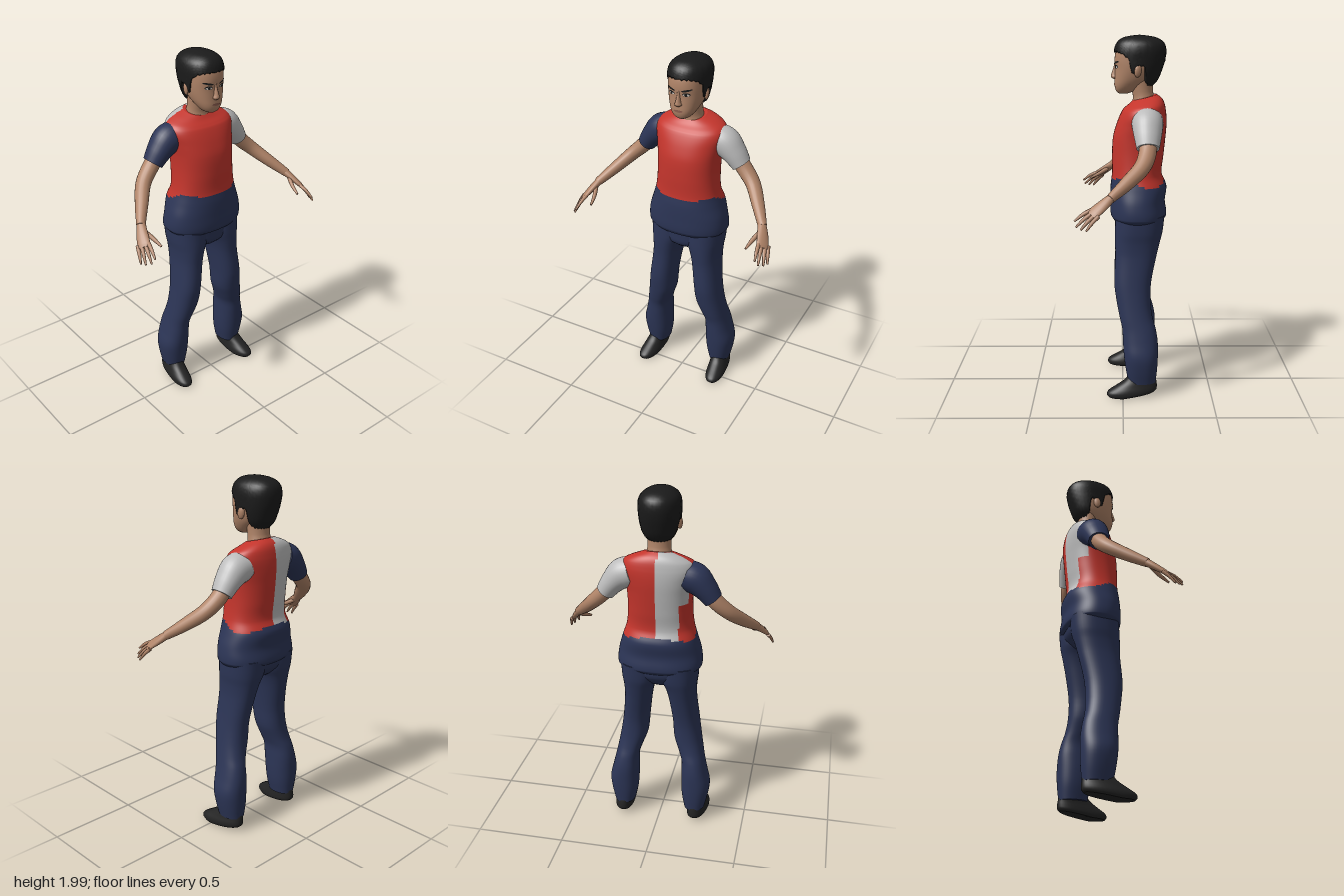
import * as THREE from 'three';

const mat = (name, color, side = THREE.FrontSide) => {
  const m = new THREE.MeshStandardMaterial({ color, side });
  m.name = name;
  return m;
};
const V = (x, y, z) => new THREE.Vector3(x, y, z);

// Smooth interpolation of rows [key, ...values]
function at(keys, t) {
  let i = 0;
  while (i < keys.length - 2 && t > keys[i + 1][0]) i++;
  const a = keys[i], b = keys[i + 1], h = b[0] - a[0];
  const u = Math.min(1, Math.max(0, (t - a[0]) / h));
  const p = keys[Math.max(0, i - 1)], q = keys[Math.min(keys.length - 1, i + 2)];
  return a.map((v, k) => {
    const m0 = (b[k] - p[k]) / (b[0] - p[0]) * h, m1 = (q[k] - v) / (q[0] - a[0]) * h;
    const u2 = u * u, u3 = u2 * u;
    return (2 * u3 - 3 * u2 + 1) * v + (u3 - 2 * u2 + u) * m0 + (3 * u2 - 2 * u3) * b[k] + (u3 - u2) * m1;
  });
}

// Skin over closed rings of points; pick(centre) chooses the material index
function skin(name, rings, mats, pick = () => 0) {
  const n = rings[0].length, verts = [];
  const centre = (r) => r.reduce((s, p) => s.add(p), V(0, 0, 0)).divideScalar(n);
  const cap = (r) => [r.map((p) => p.clone()), r.map(() => centre(r))];
  const all = [...cap(rings[0]).reverse(), ...rings, ...cap(rings[rings.length - 1])];
  all.forEach((r) => r.forEach((p) => verts.push(p.x, p.y, p.z)));
  const list = [].concat(mats), faces = list.map(() => []);
  for (let i = 0; i < all.length - 1; i++) {
    if (i === 1 || i === all.length - 3) continue;
    for (let j = 0; j < n; j++) {
      const k = (j + 1) % n, a = i * n + j, b = i * n + k, c = a + n, d = b + n;
      const mid = all[i][j].clone().add(all[i + 1][k]).multiplyScalar(0.5);
      faces[pick(mid)].push(a, b, c, b, d, c);
    }
  }
  const g = new THREE.BufferGeometry();
  g.setAttribute('position', new THREE.Float32BufferAttribute(verts, 3));
  g.setIndex(faces.flat());
  let start = 0;
  faces.forEach((f, i) => { g.addGroup(start, f.length, i); start += f.length; });
  g.computeVertexNormals();
  const mesh = new THREE.Mesh(g, list.length > 1 ? list : list[0]);
  mesh.name = name;
  return mesh;
}

// Point on a horizontal section [y, centreX, halfWidth, frontZ, backZ]
const pw = (v, e) => Math.sign(v) * Math.abs(v) ** e;
function sectionPoint([y, cx, hx, zf, zb], th, e) {
  return V(cx + hx * pw(Math.sin(th), e), y, (zf + zb) / 2 + (zf - zb) / 2 * pw(Math.cos(th), e));
}
function body(name, keys, mats, { n = 40, sub = 4, e = 0.87, pick, warp } = {}) {
  const rings = [];
  for (let i = 0; i <= (keys.length - 1) * sub; i++) {
    const k = Math.min(Math.floor(i / sub), keys.length - 2), u = i / sub - k;
    const s = at(keys, keys[k][0] + (keys[k + 1][0] - keys[k][0]) * u);
    rings.push(Array.from({ length: n }, (_, j) => {
      const p = sectionPoint(s, j / n * Math.PI * 2, e);
      if (warp) warp(p);
      return p;
    }));
  }
  return skin(name, rings, mats, pick);
}

// Tapered limb along points [x, y, z, radius along ref, radius across]
function limb(name, pts, ref, material, n = 16, sub = 5) {
  const curve = new THREE.CatmullRomCurve3(pts.map((p) => V(p[0], p[1], p[2])));
  const keys = pts.map((p, i) => [i / (pts.length - 1), p[3], p[4]]);
  const count = (pts.length - 1) * sub, rings = [];
  for (let i = 0; i <= count; i++) {
    const t = i / count, c = curve.getPoint(t), T = curve.getTangent(t), [, ra, rb] = at(keys, t);
    const N = ref.clone().addScaledVector(T, -ref.dot(T)).normalize(), B = T.clone().cross(N);
    rings.push(Array.from({ length: n }, (_, j) => {
      const a = j / n * Math.PI * 2;
      return c.clone().addScaledVector(N, Math.cos(a) * ra).addScaledVector(B, Math.sin(a) * rb);
    }));
  }
  return skin(name, rings, material);
}

const HEAD = [[1.688, 0, .022, .022, -.03], [1.7, 0, .045, .036, -.06], [1.73, 0, .068, .045, -.1],
  [1.77, 0, .086, .044, -.15], [1.82, 0, .097, .042, -.18], [1.87, 0, .1, .045, -.2],
  [1.92, 0, .098, .036, -.2], [1.96, 0, .08, .01, -.18], [1.985, 0, .03, -.05, -.12]];
const HAIR = [[1.72, 0, .068, .03, -.155], [1.76, 0, .092, .04, -.19], [1.82, 0, .106, .05, -.215],
  [1.87, 0, .11, .05, -.23], [1.92, 0, .111, .047, -.235], [1.96, 0, .098, .032, -.222],
  [1.985, 0, .066, 0, -.185], [1.995, 0, .035, -.04, -.14], [2, 0, .004, -.086, -.094]];
const HAIRLINE = [[0, 1.912], [.5, 1.912], [.9, 1.9], [1.2, 1.87], [1.32, 1.8], [1.44, 1.8],
  [1.52, 1.84], [1.78, 1.84], [1.95, 1.76], [2.3, 1.735], [3.15, 1.73]];

export function createModel() {
  const root = new THREE.Group();
  root.name = 'standingFigure';
  const red = mat('red cloth', 0xc4352c), navy = mat('navy cloth', 0x2c3556), white = mat('pale cloth', 0xbcbcbc);
  const flesh = mat('skin', 0xb08468), hairMat = mat('black hair', 0x1b1b1b), shoeMat = mat('shoe leather', 0x232323);
  const lip = mat('lips', 0x8e5f50), eyeWhite = mat('eye white', 0xd0c8c0);

  // Shirt with navy lower band and a pale back panel
  root.add(body('shirt', [[.995, 0, .215, .055, -.225], [1.02, 0, .234, .068, -.244], [1.1, 0, .228, .07, -.235],
    [1.18, 0, .205, .068, -.243], [1.25, 0, .184, .06, -.216], [1.35, 0, .175, .06, -.225], [1.45, 0, .178, .054, -.235],
    [1.52, 0, .19, .035, -.24], [1.58, 0, .202, .01, -.238], [1.62, 0, .185, -.015, -.23],
    [1.645, 0, .14, -.038, -.215], [1.668, 0, .078, -.055, -.185]], [red, navy, white], {
    n: 80, sub: 6,
    pick: (p) => {
      if (p.y < 1.215 + .025 * Math.cos(p.z * 20)) return 1;
      const left = p.y < 1.4 ? -.12 : -.2;
      return p.z < -.15 && p.x < -.008 && p.x > left ? 2 : 0;
    },
    warp: (p) => { if (p.y > 1.6) p.y -= .25 * (p.z + .12) * (p.y - 1.6) / .07; },
  }));

  // Trousers seat
  root.add(body('trouserSeat', [[.885, 0, .06, .0, -.13], [.92, 0, .13, .035, -.18], [.97, 0, .18, .042, -.22],
    [1.04, 0, .2, .045, -.225]], navy));

  for (const s of [1, -1]) {
    const side = s > 0 ? 'left' : 'right';
    // Leg rows: y, inner x, outer x, front z, back z
    const leg = [[.09, .15, .27, -.03, -.185], [.17, .135, .288, -.015, -.193], [.25, .13, .296, -.005, -.196],
      [.33, .13, .278, 0, -.194], [.4, .128, .262, .004, -.182], [.46, .108, .25, .018, -.165], [.54, .08, .236, .034, -.155],
      [.65, .07, .22, .048, -.157], [.8, .05, .204, .042, -.186], [.88, .03, .205, .044, -.205],
      [.94, .002, .213, .044, -.22], [1.03, -.01, .218, .04, -.23]];
    root.add(body(side + 'TrouserLeg', leg.map(([y, i, o, f, b]) => [y, s * (i + o) / 2, (o - i) / 2, f, b]), navy));

    // Shoe
    root.add(body(side + 'Shoe', [[.006, .225, .05, .08, -.18], [.02, .225, .056, .091, -.19], [.04, .225, .056, .082, -.192],
      [.07, .223, .05, .035, -.19], [.1, .22, .046, -.01, -.185], [.14, .215, .04, -.04, -.17]]
      .map(([y, x, ...r]) => [y, s * x, ...r]), shoeMat, {
      warp: (p) => { p.x += s * .08 * (p.z + .05); p.y += .16 * Math.max(0, -p.z) * Math.max(0, 1 - p.y / .14); },
    }));

    // Sleeve and bare arm
    const Z = V(0, 0, 1), flip = (pts) => pts.map(([x, ...r]) => [s * x, ...r]);
    root.add(limb(side + 'Sleeve', flip([[.145, 1.55, -.13, .085, .08], [.195, 1.533, -.13, .083, .083],
      [.245, 1.487, -.13, .074, .067], [.292, 1.425, -.13, .06, .052]]), Z, s > 0 ? white : navy, 28));
    root.add(limb(side + 'Arm', flip([[.255, 1.475, -.13, .046, .043], [.31, 1.408, -.127, .047, .043],
      [.375, 1.345, -.1, .044, .039], [.445, 1.272, -.02, .037, .033], [.51, 1.205, .065, .024, .024]]), Z, flesh, 20));

    // Hand: palm, four fingers and thumb
    const hand = new THREE.Group();
    hand.name = side + 'Hand';
    const across = V(.6 * s, -.3, -.7).normalize();
    hand.add(limb('palm', flip([[.5, 1.216, .052, .022, .022], [.528, 1.178, .1, .032, .018],
      [.55, 1.143, .146, .036, .013], [.557, 1.133, .16, .03, .008]]), across, flesh));
    [[.55, 1.1, .245], [.566, 1.074, .236], [.586, 1.064, .212], [.597, 1.06, .184]].forEach((tip, i) => {
      const u = i / 3, base = [.532 + .04 * u, 1.153 - .022 * u, .16 - .038 * u];
      const mid = base.map((v, k) => (v + tip[k]) / 2 + (k === 1 ? .006 : 0));
      hand.add(limb('finger', flip([[...base, .011, .011], [...mid, .01, .009], [...tip, .005, .005]]), across, flesh, 10, 4));
    });
    hand.add(limb('thumb', flip([[.512, 1.185, .085, .014, .013], [.49, 1.155, .14, .012, .011],
      [.477, 1.128, .198, .006, .006]]), across, flesh, 10, 4));
    root.add(hand);
  }

  // Neck, head and nose
  root.add(body('neck', [[1.6, 0, .085, -.04, -.19], [1.66, 0, .067, -.055, -.175], [1.7, 0, .062, -.05, -.165],
    [1.78, 0, .065, -.03, -.165]], flesh, { e: 1 }));
  root.add(body('head', HEAD, flesh));
  root.add(body('nose', [[1.765, 0, .01, .05, .02], [1.775, 0, .02, .064, .02], [1.79, 0, .015, .063, .02],
    [1.83, 0, .009, .05, .02], [1.86, 0, .008, .044, .02]], flesh, { n: 16, e: 1 }));
  for (const s of [1, -1]) {
    const ear = new THREE.Mesh(new THREE.SphereGeometry(1, 14, 10), flesh);
    ear.name = 'ear';
    ear.scale.set(.012, .033, .02);
    ear.position.set(s * .102, 1.812, -.08);
    ear.rotation.set(-.15, s * .3, 0);
    root.add(ear);
  }

  // Short tousled hair, grown from the hairline to the crown
  const hairRings = [];
  for (let i = -1; i <= 22; i++) {
    const t = Math.sin(Math.max(0, i) / 22 * Math.PI / 2);
    hairRings.push(Array.from({ length: 80 }, (_, j) => {
      const th = j / 80 * Math.PI * 2, a = Math.min(th, Math.PI * 2 - th);
      let k = 0;
      while (a > HAIRLINE[k + 1][0]) k++;
      const [a0, y0] = HAIRLINE[k], [a1, y1] = HAIRLINE[k + 1];
      const low = y0 + (y1 - y0) * (a - a0) / (a1 - a0) + .004 * Math.sin(j * 2.3);
      const p = sectionPoint(at(HAIR, low + (2 - low) * t), th, .92);
      const f = (i < 0 ? .86 : 1) + .012 * Math.sin(j * 1.9 + i * 1.3) * Math.cos(j * .7 - i * 2.1);
      p.x *= f;
      p.z = -.09 + (p.z + .09) * f;
      return p;
    }));
  }
  root.add(skin('hair', hairRings, hairMat));

  // Thin face details laid on the head surface
  const decal = (name, cx, cy, w, h, tilt, m, off) => {
    const g = new THREE.CircleGeometry(1, 16), pos = g.attributes.position;
    for (let i = 0; i < pos.count; i++) {
      const u = pos.getX(i) * w, v = pos.getY(i) * h, x = cx + u, y = cy + v + u * tilt;
      const [, , hx, zf, zb] = at(HEAD, y), q = 1 / .87;
      const d = (1 - Math.abs(x / hx) ** (2 * q)) ** (1 / (2 * q));
      pos.setXYZ(i, x, y, (zf + zb) / 2 + (zf - zb) / 2 * d + off);
    }
    g.computeVertexNormals();
    const mesh = new THREE.Mesh(g, m);
    mesh.name = name;
    root.add(mesh);
  };
  for (const s of [1, -1]) {
    decal('eyeLine', s * .042, 1.833, .02, .01, 0, hairMat, .002);
    decal('eyeWhite', s * .042, 1.831, .017, .006, 0, eyeWhite, .003);
    decal('iris', s * .041, 1.832, .007, .007, 0, hairMat, .004);
    decal('eyebrow', s * .044, 1.855, .027, .0055, s * .2, hairMat, .003);
  }
  decal('mouth', 0, 1.739, .027, .007, 0, lip, .003);
  return root;
}
